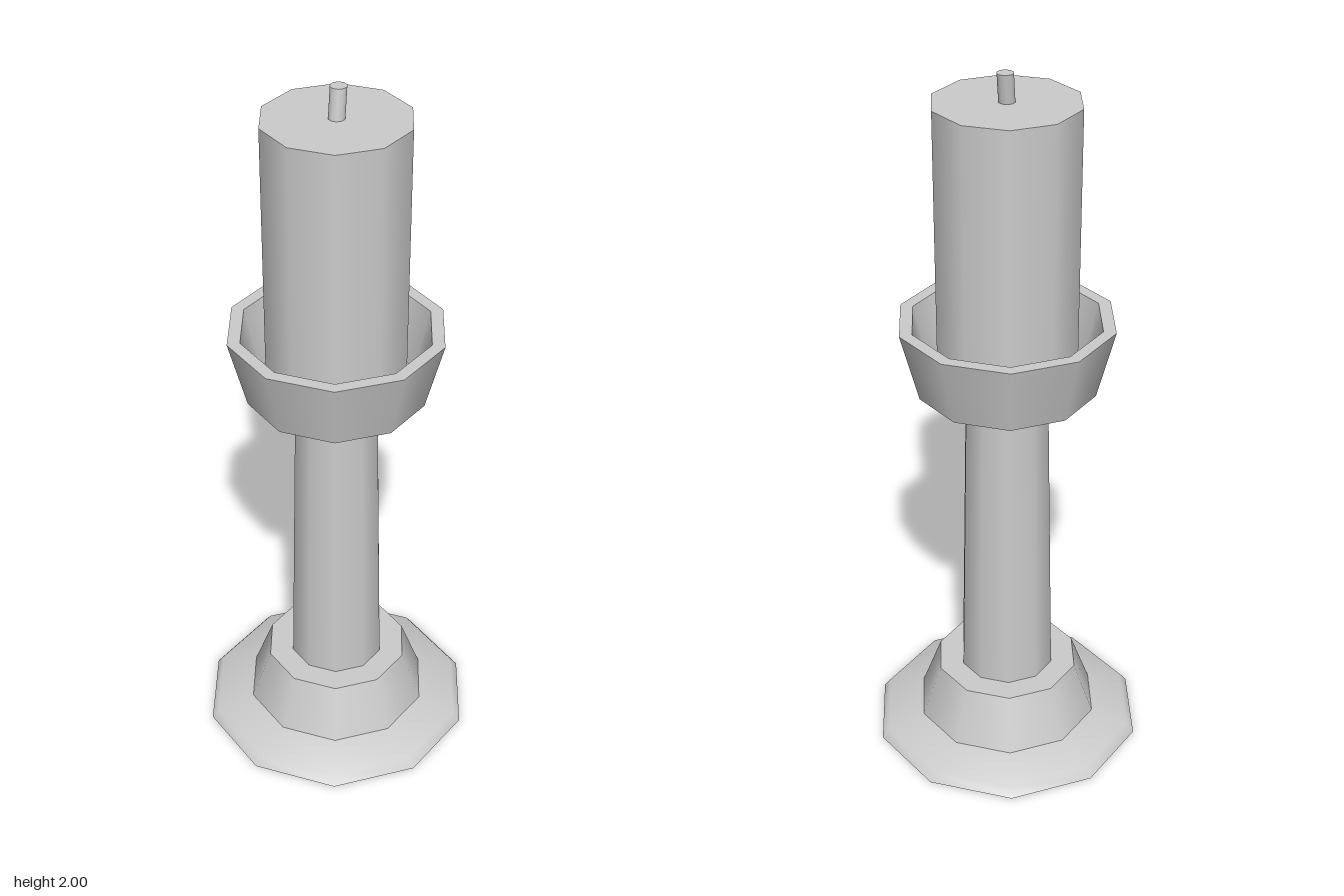
import * as THREE from 'three';
import { mergeGeometries } from 'three/addons/utils/BufferGeometryUtils.js';

const SIDES = 10;
const material = new THREE.MeshStandardMaterial({ color: 0xcccccc });

// Revolve several [radius, y] profiles; edges stay sharp between profiles
function turned(name, ...profiles) {
  const bands = profiles.map((profile) => new THREE.LatheGeometry(
    profile.map(([r, y]) => new THREE.Vector2(r, y)), SIDES, Math.PI / 2));
  const mesh = new THREE.Mesh(mergeGeometries(bands), material);
  mesh.name = name;
  return mesh;
}

export function createModel() {
  const model = new THREE.Group();
  model.name = 'candlestick';

  // Wide foot with a low sloping flange and a raised collar
  model.add(turned('base',
    [[0, 0], [0.39, 0]],
    [[0.39, 0], [0.37, 0.026], [0.262, 0.055]],
    [[0.262, 0.055], [0.205, 0.21]],
    [[0.205, 0.21], [0, 0.21]]));

  // Tapered stem
  model.add(turned('stem', [[0.135, 0.21], [0.115, 1.13]]));

  // Hollow flared cup
  model.add(turned('cup',
    [[0, 1.13], [0.245, 1.13]],
    [[0.245, 1.13], [0.295, 1.325]],
    [[0.295, 1.325], [0.26, 1.325]],
    [[0.26, 1.325], [0.216, 1.155]],
    [[0.216, 1.155], [0, 1.155]]));

  // Candle standing in the cup
  model.add(turned('candle',
    [[0.194, 1.155], [0.194, 1.922]],
    [[0.194, 1.922], [0, 1.922]]));

  // Short wick leaning towards the back
  const wick = turned('wick',
    [[0.022, 0], [0.022, 0.08]],
    [[0.022, 0.08], [0, 0.08]]);
  wick.geometry.applyMatrix4(new THREE.Matrix4().set(
    1, 0, 0, 0,
    0, 1, 0, 0,
    0, -0.18, 1, 0,
    0, 0, 0, 1));
  wick.position.y = 1.92;
  model.add(wick);

  return model;
}
